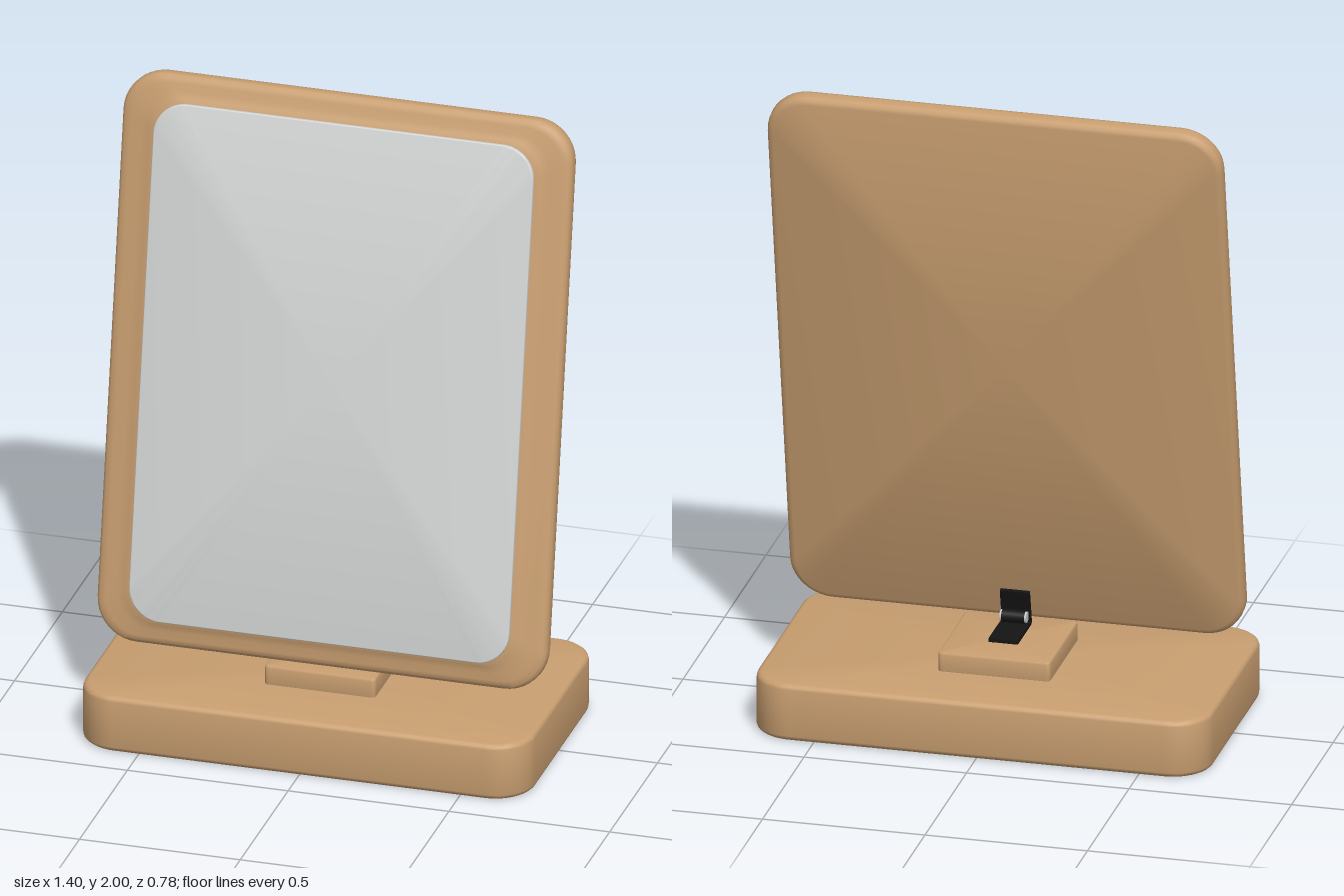
import * as THREE from 'three';
import { toCreasedNormals } from 'three/addons/utils/BufferGeometryUtils.js';

const material = (name, color) => Object.assign(new THREE.MeshStandardMaterial({ color }), { name });

// Outline of a rounded rectangle, counter-clockwise
function outline(hw, hh, r, steps = 10) {
  const pts = [];
  for (let q = 0; q < 4; q++) {
    const sx = q === 0 || q === 3 ? 1 : -1, sy = q < 2 ? 1 : -1;
    for (let i = 0; i <= steps; i++) {
      const a = (q + i / steps) * Math.PI / 2;
      pts.push([sx * (hw - r) + r * Math.cos(a), sy * (hh - r) + r * Math.sin(a)]);
    }
  }
  return pts;
}

// Closed solid through rounded rectangles [halfWidth, halfHeight, radius, depth], back to front
function loft(sections) {
  const pos = [], idx = [], n = outline(1, 1, 0.1).length;
  for (const [hw, hh, r, z] of sections) for (const [x, y] of outline(hw, hh, r)) pos.push(x, y, z);
  const last = (sections.length - 1) * n, back = sections.length * n;
  pos.push(0, 0, sections[0][3], 0, 0, sections.at(-1)[3]);
  for (let i = 0; i < n; i++) {
    const j = (i + 1) % n;
    for (let s = 0; s < last; s += n) idx.push(s + i, s + j, s + n + j, s + i, s + n + j, s + n + i);
    idx.push(back, j, i, back + 1, last + i, last + j);
  }
  const g = new THREE.BufferGeometry();
  g.setAttribute('position', new THREE.Float32BufferAttribute(pos, 3));
  g.setIndex(idx);
  return toCreasedNormals(g, 0.6);
}

// Slab with rounded corners and softened rims
function slab(hw, hh, r, z0, z1, e) {
  const rim = [[1, 0], [0.5, 0.13], [0.13, 0.5], [0, 1]];
  const section = (inset, z) => [hw - inset * e, hh - inset * e, r - inset * e * 0.5, z];
  return loft([
    ...rim.map(([a, b]) => section(a, z0 + b * e)),
    ...rim.slice().reverse().map(([a, b]) => section(a, z1 - b * e)),
  ]);
}

export function createModel() {
  const model = new THREE.Group();
  model.name = 'tableMirror';
  const wood = material('wood', 0xc89e70);
  const glass = material('mirrorGlass', 0xd2d5d4);
  const black = material('blackMetal', 0x141414);
  const steel = material('steel', 0xc4c6c8);

  const add = (parent, name, geometry, mat) => {
    const mesh = new THREE.Mesh(geometry, mat);
    mesh.name = name;
    parent.add(mesh);
    return mesh;
  };

  // Base and the small block on it
  add(model, 'base', slab(0.7, 0.392, 0.12, 0, 0.18, 0.016).rotateX(-Math.PI / 2), wood);
  add(model, 'hingeBlock', slab(0.172, 0.172, 0.012, 0.175, 0.24, 0.006).rotateX(-Math.PI / 2), wood);

  // Leaning panel, with its back face on the local z = 0 plane
  const panel = new THREE.Group();
  panel.name = 'leaningPanel';
  panel.position.set(0, 1.122, -0.038);
  panel.rotation.x = -0.18;
  model.add(panel);

  // Frame: rounded rim, then a shallow slope rising to the glass
  add(panel, 'frame', loft([
    [0.68, 0.863, 0.11, 0],
    [0.691, 0.874, 0.12, 0.004],
    [0.698, 0.881, 0.127, 0.012],
    [0.7, 0.883, 0.13, 0.022],
    [0.7, 0.883, 0.13, 0.042],
    [0.697, 0.88, 0.127, 0.052],
    [0.688, 0.872, 0.12, 0.06],
    [0.67, 0.857, 0.115, 0.064],
    [0.635, 0.833, 0.107, 0.068],
    [0.61, 0.815, 0.103, 0.074],
    [0.594, 0.804, 0.1, 0.081],
  ]), wood);
  add(panel, 'mirrorGlass', slab(0.591, 0.802, 0.1, 0.07, 0.093, 0.004), glass);

  // Hinge joining the block to the back of the panel
  const hinge = new THREE.Group();
  hinge.name = 'hinge';
  model.add(hinge);
  add(hinge, 'lowerLeaf', new THREE.BoxGeometry(0.09, 0.012, 0.165), black).position.set(0, 0.247, 0.025);
  const upper = add(hinge, 'upperLeaf', new THREE.BoxGeometry(0.09, 0.112, 0.012), black);
  upper.position.set(0, 0.3, 0.095);
  upper.rotation.x = -0.22;
  add(hinge, 'knuckle', new THREE.CylinderGeometry(0.02, 0.02, 0.07, 20).rotateZ(Math.PI / 2), black)
    .position.set(0, 0.277, 0.072);
  add(hinge, 'pin', new THREE.CylinderGeometry(0.017, 0.017, 0.082, 20).rotateZ(Math.PI / 2), steel)
    .position.set(0, 0.277, 0.072);

  return model;
}
